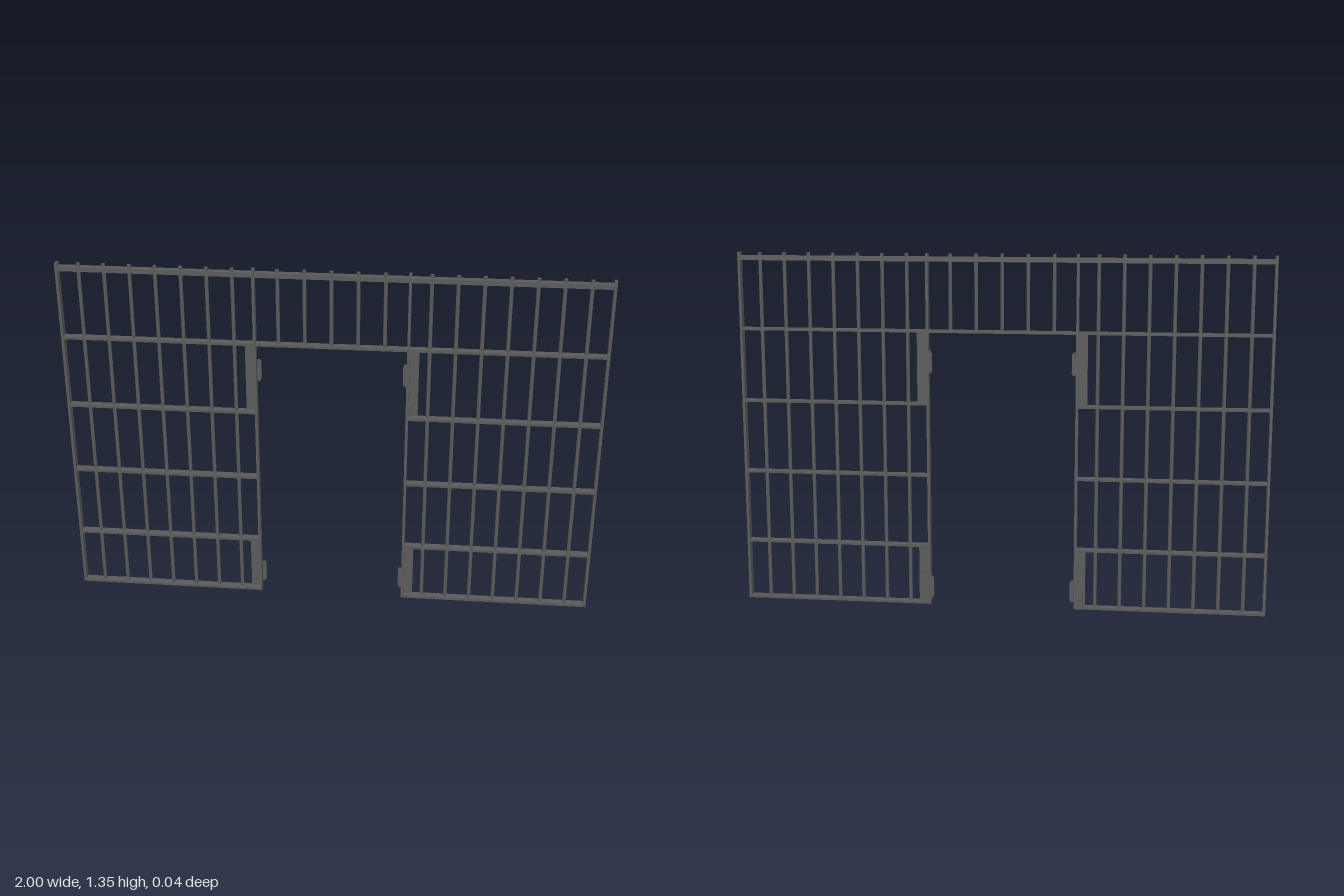
import * as THREE from 'three';

export function createModel() {
  const steel = new THREE.MeshStandardMaterial({ color: 0x5a5a5a });
  steel.name = 'dark grey steel';
  const model = new THREE.Group();
  model.name = 'barredGateway';

  const zMid = 0.0065, depth = 0.029, top = 1.35;

  // Box given by its extents
  function box(name, x0, x1, y0, y1, z0 = zMid - depth / 2, z1 = zMid + depth / 2) {
    const mesh = new THREE.Mesh(new THREE.BoxGeometry(x1 - x0, y1 - y0, z1 - z0), steel);
    mesh.position.set((x0 + x1) / 2, (y0 + y1) / 2, (z0 + z1) / 2);
    mesh.name = name;
    model.add(mesh);
  }

  // Mirrored pair of boxes, given for the +x side
  function pair(name, x0, x1, ...rest) {
    box('left' + name, x0, x1, ...rest);
    box('right' + name, -x1, -x0, ...rest);
  }

  // Upright round rod
  function rod(name, x, y0, y1, r = 0.007, z = zMid) {
    const mesh = new THREE.Mesh(new THREE.CylinderGeometry(r, r, y1 - y0, 12), steel);
    mesh.position.set(x, (y0 + y1) / 2, z);
    mesh.name = name;
    model.add(mesh);
  }

  // Flat outer posts and door jambs
  pair('OuterPost', 0.99, 1, 0, top);
  pair('Jamb', 0.276, 0.286, 0, top);

  // Rails across the whole width
  box('topRail', -0.995, 0.995, 1.32, 1.338, zMid - 0.012, zMid + 0.012);
  box('lintelRail', -0.995, 0.995, 1.056, 1.066);

  // Rails of the side panels
  for (const y of [0.005, 0.232, 0.509, 0.785]) pair('Rail', 0.28, 0.995, y - 0.005, y + 0.005);

  // Bars of the side panels
  for (let i = 0; i < 7; i++) {
    const x = 0.357 + i * 0.0932;
    rod('leftBar', x, 0, top);
    rod('rightBar', -x, 0, top);
  }

  // Short bars above the opening
  for (let i = -2; i <= 2; i++) rod('lintelBar', i * 0.097, 1.06, top);

  // Mounting plates beside the opening, each with a hinge behind
  for (const [y0, y1, h0] of [[0.01, 0.232, 0.03], [0.785, 1.06, 0.905]]) {
    pair('MountingPlate', 0.284, 0.32, y0, y1, -0.008, -0.002);
    pair('HingeLeaf', 0.268, 0.312, h0, h0 + 0.085, -0.014, -0.008);
    pair('HingeKnuckle', 0.262, 0.276, h0 + 0.008, h0 + 0.077, -0.0205, -0.008);
    for (const s of [-1, 1]) rod('hingePin', s * 0.269, h0, h0 + 0.085, 0.005, -0.0145);
  }
  return model;
}
